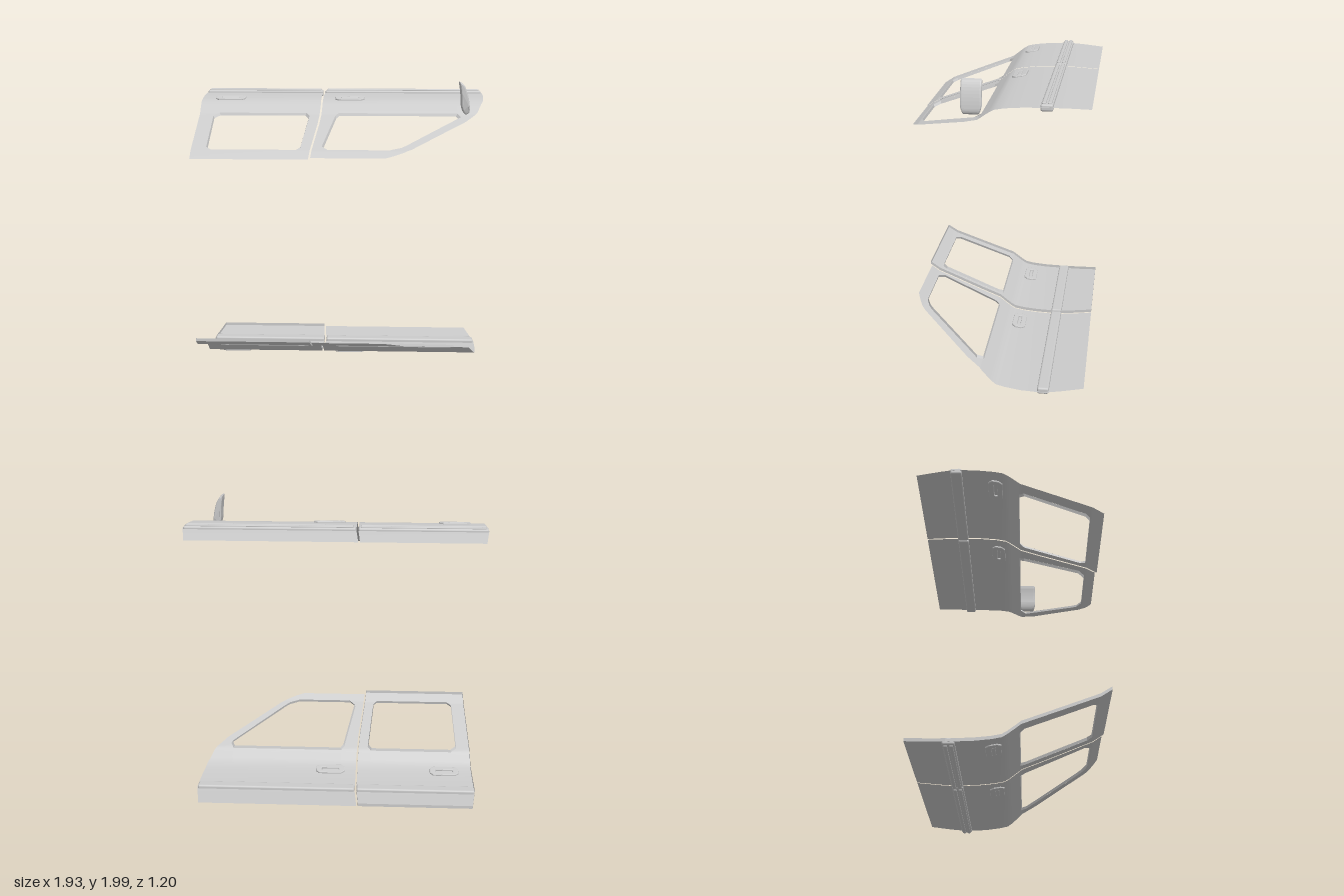
import * as THREE from 'three';
import { RoundedBoxGeometry } from 'three/addons/geometries/RoundedBoxGeometry.js';

const mat = new THREE.MeshStandardMaterial({ color: 0xcccccc, side: THREE.DoubleSide });

// Piecewise linear lookup on [key, value] pairs, clamped at both ends
function lerpAt(pts, k) {
  if (k <= pts[0][0]) return pts[0][1];
  for (let i = 1; i < pts.length; i++) {
    const [a, va] = pts[i - 1], [b, vb] = pts[i];
    if (k <= b) return va + (vb - va) * (k - a) / (b - a);
  }
  return pts[pts.length - 1][1];
}

// Section shared by every panel: z to height
const section = [[-0.6, 1.868], [-0.45, 1.88], [-0.34, 1.885], [-0.2, 1.88], [-0.1, 1.87], [-0.04, 1.858],
  [-0.01, 1.84], [0.04, 1.802], [0.07, 1.778], [0.3, 1.692], [0.53, 1.605], [0.6, 1.56]];
const height = z => lerpAt(section, z);

// Each edge is a list of [z, x]
const rearDoor = {
  name: 'rearDoor', end: 0.6,
  left: [[-0.6, -0.935], [-0.36, -0.97], [-0.3, -0.97], [0, -0.965], [0.6, -0.943]],
  right: [[-0.6, -0.168], [-0.36, -0.152], [0, -0.152], [0.2, -0.163], [0.6, -0.2]],
  winLeft: [[0.06, -0.83], [0.09, -0.868], [0.49, -0.853], [0.52, -0.82]],
  winRight: [[0.06, -0.245], [0.09, -0.222], [0.49, -0.255], [0.52, -0.28]],
  moulding: [-0.968, -0.152], handle: -0.773,
};
const frontDoor = {
  name: 'frontDoor', end: 0.588,
  left: [[-0.6, -0.157], [-0.36, -0.139], [0, -0.14], [0.2, -0.151], [0.588, -0.187]],
  right: [[-0.6, 0.912], [-0.35, 0.963], [-0.2, 0.958], [-0.04, 0.942], [0.05, 0.9], [0.09, 0.868],
    [0.16, 0.815], [0.51, 0.45], [0.54, 0.405], [0.57, 0.335], [0.588, 0.28]],
  winLeft: [[0.06, -0.03], [0.09, -0.05], [0.48, -0.12], [0.52, -0.08]],
  winRight: [[0.06, 0.765], [0.1, 0.785], [0.46, 0.42], [0.49, 0.385], [0.52, 0.31]],
  moulding: [-0.137, 0.955], handle: 0.043,
};

function surface(pos, index, name) {
  const g = new THREE.BufferGeometry();
  g.setAttribute('position', new THREE.Float32BufferAttribute(pos, 3));
  g.setIndex(index);
  g.computeVertexNormals();
  const m = new THREE.Mesh(g, mat);
  m.name = name;
  return m;
}

// Curved sheet with a window opening, lofted row by row along z
function panel(d) {
  const zs = new Set([-0.6, d.end]);
  for (const c of [section, d.left, d.right, d.winLeft, d.winRight])
    for (const [z] of c) if (z < d.end) zs.add(z);
  const rows = [...zs].sort((a, b) => a - b);
  const pos = [], idx = [];
  rows.forEach((z, i) => {
    const L = lerpAt(d.left, z), R = lerpAt(d.right, z);
    const wr = Math.min(lerpAt(d.winRight, z), R - 0.01);
    for (const x of [L, lerpAt(d.winLeft, z), wr, R]) pos.push(x, height(z), z);
    if (!i) return;
    const open = rows[i - 1] >= 0.06 && z <= 0.52;
    for (let c = 0; c < 3; c++) {
      if (open && c === 1) continue;
      const a = (i - 1) * 4 + c, b = a + 4;
      idx.push(a, b, a + 1, a + 1, b, b + 1);
    }
  });
  return surface(pos, idx, d.name + 'Panel');
}

// Folded edge: a closed strip dropping inward from a loop of [z, x] points
function foldedEdge(loop, drop, shrink, name) {
  const n = loop.length, pos = [], idx = [];
  const cz = loop.reduce((s, p) => s + p[0], 0) / n, cx = loop.reduce((s, p) => s + p[1], 0) / n;
  for (let i = 0; i < n; i++) {
    const b = pos.length / 3;
    for (const [z, x] of [loop[i], loop[(i + 1) % n]]) {
      const y = height(z);
      pos.push(x, y, z, x + (cx - x) * shrink, y - drop, z + (cz - z) * shrink);
    }
    idx.push(b, b + 1, b + 2, b + 2, b + 1, b + 3);
  }
  return surface(pos, idx, name);
}
const loopOf = (a, b) => [...a, ...[...b].reverse()];

// Subdivides an edge so that a fold follows the curved section
function dense(edge, end) {
  const zs = [...new Set([...section, ...edge].map(p => p[0]).filter(z => z <= end))].sort((a, b) => a - b);
  return zs.map(z => [z, lerpAt(edge, z)]);
}

// Long side moulding with two raised ribs
function moulding([x0, x1]) {
  const g = new THREE.Group();
  g.name = 'sideMoulding';
  const bar = (w, h, d, y, z, r, name) => {
    const m = new THREE.Mesh(new RoundedBoxGeometry(w, h, d, 2, r), mat);
    m.position.set((x0 + x1) / 2, y, z);
    m.name = name;
    g.add(m);
  };
  const len = x1 - x0;
  bar(len, 0.042, 0.074, 1.88, -0.344, 0.012, 'mouldingBase');
  for (const z of [-0.361, -0.327]) bar(len - 0.03, 0.014, 0.022, 1.903, z, 0.006, 'mouldingRib');
  return g;
}

// Chamfered handle plate with a raised grip
function handle(x) {
  const g = new THREE.Group();
  g.name = 'doorHandle';
  const w = 0.097, h = 0.042, c = 0.022;
  const s = new THREE.Shape([[-w, -h + c], [-w + c, -h], [w - c, -h], [w, -h + c], [w, h - c],
    [w - c, h], [-w + c, h], [-w, h - c]].map(p => new THREE.Vector2(...p)));
  const slot = new THREE.Path();
  slot.moveTo(-0.066, -0.016).lineTo(-0.066, 0.016).lineTo(0.066, 0.016).lineTo(0.066, -0.016).closePath();
  s.holes.push(slot);
  const plate = new THREE.Mesh(new THREE.ExtrudeGeometry(s,
    { depth: 0.012, bevelThickness: 0.005, bevelSize: 0.005, bevelSegments: 2 }), mat);
  plate.rotation.x = -Math.PI / 2;
  plate.position.y = -0.008;
  plate.name = 'handlePlate';
  const grip = new THREE.Mesh(new RoundedBoxGeometry(0.12, 0.014, 0.024, 2, 0.005), mat);
  grip.position.y = 0.003;
  grip.name = 'handleGrip';
  g.add(plate, grip);
  g.position.set(x, height(-0.092), -0.092);
  g.rotation.x = 0.17;
  return g;
}

// Curved wing mirror, narrowing towards its foot
function wingMirror() {
  const s = new THREE.Shape();
  s.moveTo(0.777, 1.99);
  s.bezierCurveTo(0.80, 1.985, 0.825, 1.9, 0.829, 1.83);
  s.quadraticCurveTo(0.83, 1.80, 0.812, 1.80);
  s.quadraticCurveTo(0.795, 1.81, 0.791, 1.86);
  s.quadraticCurveTo(0.79, 1.93, 0.777, 1.99);
  const geo = new THREE.ExtrudeGeometry(s, { depth: 0.107, curveSegments: 10,
    bevelThickness: 0.01, bevelSize: 0.008, bevelSegments: 3 });
  const p = geo.attributes.position;
  for (let i = 0; i < p.count; i++) {
    const y = p.getY(i), k = 1 - 0.25 * Math.max(0, (1.84 - y) / 0.05);
    p.setZ(i, 0.115 + (p.getZ(i) - 0.0535) * k);
  }
  geo.computeVertexNormals();
  const m = new THREE.Mesh(geo, mat);
  m.name = 'wingMirror';
  return m;
}

function doorPair(name) {
  const pair = new THREE.Group();
  pair.name = name;
  for (const d of [rearDoor, frontDoor]) {
    const door = new THREE.Group();
    door.name = d.name;
    door.add(panel(d), foldedEdge(loopOf(d.winLeft, d.winRight), 0.018, 0.02, 'windowFrame'),
      moulding(d.moulding), handle(d.handle));
    pair.add(door);
  }
  return pair;
}

export function createModel() {
  const model = new THREE.Group();
  model.name = 'doorPanels';
  const upper = doorPair('upperDoors');
  upper.add(wingMirror());

  // Opposite side: mirrored in height, with a folded edge around the rear door
  const lower = doorPair('lowerDoors');
  const rim = loopOf(dense(rearDoor.left, 0.6), dense(rearDoor.right, 0.6));
  lower.add(foldedEdge(rim, 0.02, 0, 'rearDoorFold'));
  lower.scale.y = -1;
  lower.position.y = 1.915;

  model.add(upper, lower);
  return model;
}
